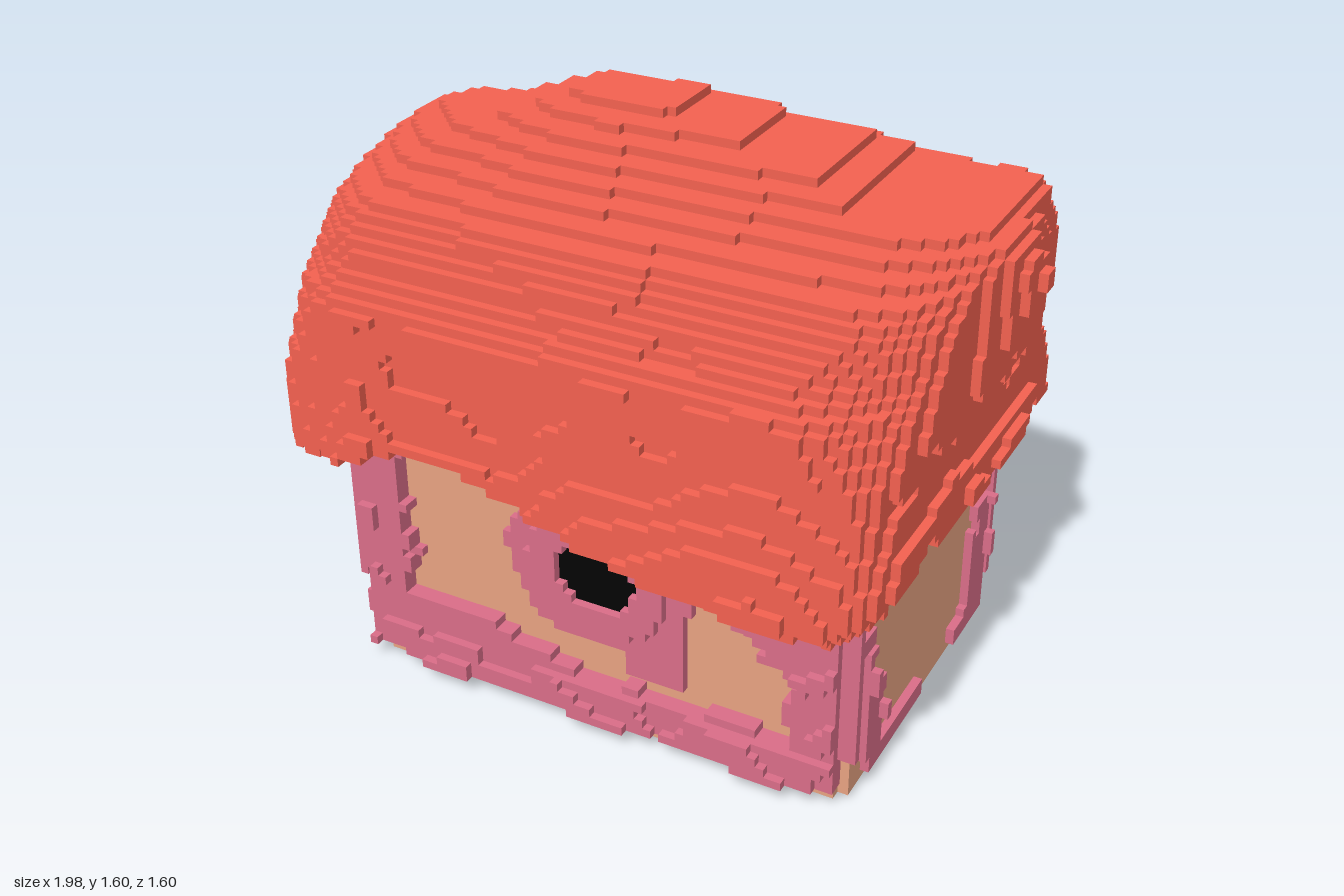
import * as THREE from 'three';

const S = 0.025; // voxel size
const mat = (color) => new THREE.MeshStandardMaterial({ color, flatShading: true });
const ROOF = 0xf46150, PINK = 0xda6d88, TAN = 0xe8a382, BLACK = 0x030303;

// Piecewise linear profile through [position, value] pairs
function lerp(table, t) {
  if (t <= table[0][0]) return table[0][1];
  for (let i = 1; i < table.length; i++) {
    const [a, va] = table[i - 1], [b, vb] = table[i];
    if (t <= b) return va + (vb - va) * (t - a) / (b - a);
  }
  return table[table.length - 1][1];
}
const clamp01 = (t) => Math.min(1, Math.max(0, t));
const wob = (a, b) => Math.sin(a * 13 + 2 * Math.sin(b * 9)) * Math.sin(b * 17 + 1.3 * Math.sin(a * 11 + 1));

// The outer faces of every voxel for which inside(x, y, z) holds
function voxels(name, color, inside, lo, hi) {
  const n = lo.map((l, k) => Math.round((hi[k] - l) / S));
  const full = new Uint8Array(n[0] * n[1] * n[2]);
  const id = (i, j, k) => (i * n[1] + j) * n[2] + k;
  const get = (c) => c.every((v, a) => v >= 0 && v < n[a]) && full[id(...c)];
  const each = (fn) => {
    for (let i = 0; i < n[0]; i++) for (let j = 0; j < n[1]; j++) for (let k = 0; k < n[2]; k++) fn(i, j, k);
  };
  each((i, j, k) => {
    full[id(i, j, k)] = inside(lo[0] + (i + 0.5) * S, lo[1] + (j + 0.5) * S, lo[2] + (k + 0.5) * S) ? 1 : 0;
  });
  const pos = [], idx = [];
  each((i, j, k) => {
    if (!full[id(i, j, k)]) return;
    for (let a = 0; a < 3; a++) for (const d of [0, 1]) {
      const c = [i, j, k];
      c[a] += d ? 1 : -1;
      if (get(c)) continue;
      const b = (a + 1) % 3, e = (a + 2) % 3, base = pos.length / 3;
      for (const [u, v] of [[0, 0], [1, 0], [1, 1], [0, 1]]) {
        const p = [i, j, k];
        p[a] += d; p[b] += u; p[e] += v;
        pos.push(...p.map((q, m) => lo[m] + q * S));
      }
      idx.push(...(d ? [0, 1, 2, 0, 2, 3] : [0, 2, 1, 0, 3, 2]).map((q) => base + q));
    }
  });
  const indexed = new THREE.BufferGeometry();
  indexed.setAttribute('position', new THREE.Float32BufferAttribute(pos, 3));
  indexed.setIndex(idx);
  const g = indexed.toNonIndexed();
  g.computeVertexNormals();
  const mesh = new THREE.Mesh(g, mat(color));
  mesh.name = name;
  return mesh;
}

// Roof outline: slopes and ends by height, end bulges by z, ridge, eaves and hems by x
const frontSlope = [[0.66, 0.75], [0.72, 0.8], [0.83, 0.77], [0.92, 0.73], [1.05, 0.71], [1.2, 0.72], [1.27, 0.63], [1.35, 0.58], [1.42, 0.51], [1.46, 0.38], [1.53, 0.17], [1.6, -0.06]];
const backSlope = [[0.66, -0.73], [0.72, -0.8], [0.85, -0.78], [0.93, -0.69], [1.0, -0.62], [1.1, -0.57], [1.28, -0.51], [1.4, -0.42], [1.52, -0.31], [1.6, -0.23]];
const leftEnd = [[0.66, 0.8], [0.75, 0.88], [0.82, 0.94], [0.9, 0.89], [1.0, 0.88], [1.1, 0.93], [1.27, 0.96], [1.36, 1.0], [1.44, 0.95], [1.5, 0.91], [1.6, 0.8]];
const rightEnd = [[0.68, -0.9], [0.72, -0.96], [0.87, -0.99], [1.0, -0.94], [1.2, -0.9], [1.35, -0.87], [1.5, -0.83], [1.6, -0.5]];
const leftPlan = [[-0.6, 0.87], [-0.3, 0.91], [-0.08, 0.95], [-0.03, 1], [0.1, 0.95], [0.25, 0.91], [0.7, 0.9]];
const rightPlan = [[-0.5, -0.96], [-0.24, -1], [-0.05, -0.94], [0.12, -0.91], [0.3, -0.96], [0.55, -0.95]];
const ridge = [[-0.85, 1.5], [-0.5, 1.54], [-0.35, 1.6], [-0.15, 1.6], [0.1, 1.57], [0.4, 1.54], [0.6, 1.5], [0.95, 1.5]];
const ridgeShift = [[-0.8, 0.22], [-0.55, 0.14], [-0.35, 0.03], [-0.1, 0]];
const frontEave = [[-0.95, 0.6], [-0.8, 0.68], [-0.6, 0.76], [-0.48, 0.71], [-0.2, 0.71], [0.1, 0.76], [0.6, 0.8], [0.8, 0.78], [0.95, 0.72]];
const backEave = [[-0.85, -0.62], [-0.3, -0.64], [0, -0.7], [0.2, -0.74], [0.4, -0.8], [0.65, -0.8], [0.75, -0.68], [0.85, -0.6]];
const frontHem = [[-0.95, 0.69], [-0.7, 0.75], [-0.47, 0.82], [-0.3, 0.82], [-0.1, 0.76], [0.3, 0.71], [0.55, 0.67], [0.8, 0.66], [0.9, 0.72]];
const backHem = [[-0.85, 0.66], [-0.5, 0.7], [0, 0.77], [0.3, 0.77], [0.6, 0.73], [0.85, 0.72]];
// Inset of a rounded corner of radius r at a distance from the slope
function rounding(r, gap) {
  const q = Math.max(0, r - gap);
  return r - Math.sqrt(r * r - q * q);
}

function inRoof(x, y, z) {
  const t = clamp01((Math.abs(z) - 0.43) / 0.15);
  if (y < 0.77 + ((z > 0 ? lerp(frontHem, x) : lerp(backHem, x)) - 0.77) * t) return false;
  const h = lerp(ridge, x);
  if (y > h) return false;
  const yn = y + Math.max(0, y - 1.3) * (1.6 - h);
  const w = clamp01((1.4 - yn) / 0.6);
  const bump = 0.012 * wob(x * 0.6, y * 0.6);
  const zf = lerp(frontSlope, yn) - (0.8 - lerp(frontEave, x)) * w + bump;
  const zb = lerp(backSlope, yn) + (0.8 + lerp(backEave, x)) * w + bump + lerp(ridgeShift, x) * clamp01((y - 1.05) / 0.4);
  if (z > zf || z < zb) return false;
  const corner = Math.max(
    rounding(0.1 + 0.2 * clamp01((y - 0.95) / 0.25), zf - z),
    rounding(0.1, Math.min(z - zb, h - y + 0.02)),
  ) + 0.011 * (1 + wob(z * 0.7, y * 0.7));
  return x < Math.min(lerp(leftEnd, y), lerp(leftPlan, z)) - corner
    && x > Math.max(lerp(rightEnd, y), lerp(rightPlan, z)) + corner;
}

// Depth of the stone trim on each long wall and each end wall
const frontWin = [0.02, 0.5, 0.125, 0.105], backWin = [0.1, 0.45, 0.105, 0.09];
const ring = (x, y, [cx, cy, rx, ry], sx = 1, sy = sx) => Math.hypot((x - cx) / (rx * sx), (y - cy) / (ry * sy));
function longWallTrim(x, y, win) {
  const n = wob(x, y), a = Math.abs(x), cx = win[0];
  const r = ring(x, y, win, 0.27 / win[2], 0.24 / win[3]);
  if (ring(x, y, win) < 1) return 0;
  if (r < 1 + 0.08 * n) return 0.03 + 0.025 * (r < 0.78);
  if (x > cx + 0.08 && x < cx + 0.26 && y > 0.21 && y < 0.42) return 0.025; // stones under the window
  const thin = a > 0.725; // stepped corners
  const band = 0.16 + 0.1 * clamp01((-x - 0.05) / 0.3) + 0.015 * n;
  if (y > 0.05 && y < band) return thin ? 0 : y < 0.15 ? 0.075 + 0.03 * n : 0.05;
  const blob = x > 0 ? 0.17 * Math.max(0, 1 - Math.abs(y - 0.49) / 0.12) : 0;
  if (y < 0.05 || a < 0.59 - blob + 0.03 * n) return 0;
  return thin ? 0.025 : 0.05 + 0.015 * n;
}
function endWallTrim(z, y) {
  const n = wob(z, y + 0.3), a = Math.abs(z), front = z > 0;
  if (y < 0.05) return 0;
  if (y < 0.11) return (z > 0.04 && z < 0.43) || (z < -0.2 && z > -0.42) ? 0.03 : 0;
  if (y < 0.45) {
    const inner = (front ? 0.34 : 0.29) + 0.3 * Math.max(0, y - 0.25) + 0.04 * n;
    return a > inner && a < (front ? 0.46 : 0.42) ? 0.03 + 0.02 * n : 0;
  }
  const blob = front ? a > 0.43 && (Math.abs(y - 0.5) < 0.025 || Math.abs(y - 0.7) < 0.025)
    : a > 0.3 + 0.03 * n && a < 0.42 && Math.abs(y - 0.55) < 0.05;
  return blob ? 0.03 : 0;
}
// Arched doorway on the -x wall: 0 outside, 1 frame, 2 panel
function doorway(z, y) {
  const d = Math.abs(z - 0.2), top = 0.45;
  const r = y > top ? Math.hypot(d, y - top) : d;
  return y < 0.05 ? 0 : r < 0.16 ? 2 : r < 0.25 + 0.015 * wob(z, y) ? 1 : 0;
}
function inTrim(x, y, z) {
  if (y > 0.775) return false;
  const out = z > 0.5 ? z - 0.5 : z < -0.45 ? -0.45 - z : 0;
  const side = Math.abs(x) - 0.75;
  if (out > 0) return side < 0.03 && out < longWallTrim(x, y, z > 0 ? frontWin : backWin);
  if (side <= 0) return false;
  const door = x < 0 ? doorway(z, y) : 0;
  return side < (door === 1 ? 0.05 : door === 2 ? 0.025 : endWallTrim(z, y));
}

export function createModel() {
  const model = new THREE.Group();
  const box = (name, color, size, at) => {
    const m = new THREE.Mesh(new THREE.BoxGeometry(...size), mat(color));
    m.name = name;
    m.position.set(...at);
    model.add(m);
  };

  // Plastered walls and a small foundation step
  box('walls', TAN, [1.5, 0.8, 0.95], [0, 0.42, 0.025]);
  box('foundationFront', TAN, [1.4, 0.03, 0.03], [0.02, 0.035, 0.515]);
  box('foundationStep', TAN, [0.2, 0.02, 0.12], [-0.08, 0.01, 0.46]);

  // Thatched roof and stone trim
  model.add(voxels('roof', ROOF, inRoof, [-1, 0.65, -0.8], [1, 1.6, 0.8]));
  model.add(voxels('stoneTrim', PINK, inTrim, [-0.9, 0, -0.65], [0.9, 0.8, 0.65]));

  // Dark window openings in both long walls
  const pane = (win) => (x, y) => ring(x, y, win) < 1;
  model.add(voxels('frontWindow', BLACK, pane(frontWin), [-0.2, 0.3, 0.5], [0.3, 0.7, 0.525]));
  model.add(voxels('backWindow', BLACK, pane(backWin), [-0.2, 0.3, -0.475], [0.4, 0.7, -0.45]));

  // Door fittings
  box('doorLight', ROOF, [0.05, 0.09, 0.09], [-0.79, 0.46, 0.2]);
  box('doorKnob', ROOF, [0.06, 0.05, 0.05], [-0.8, 0.29, 0.25]);
  return model;
}
